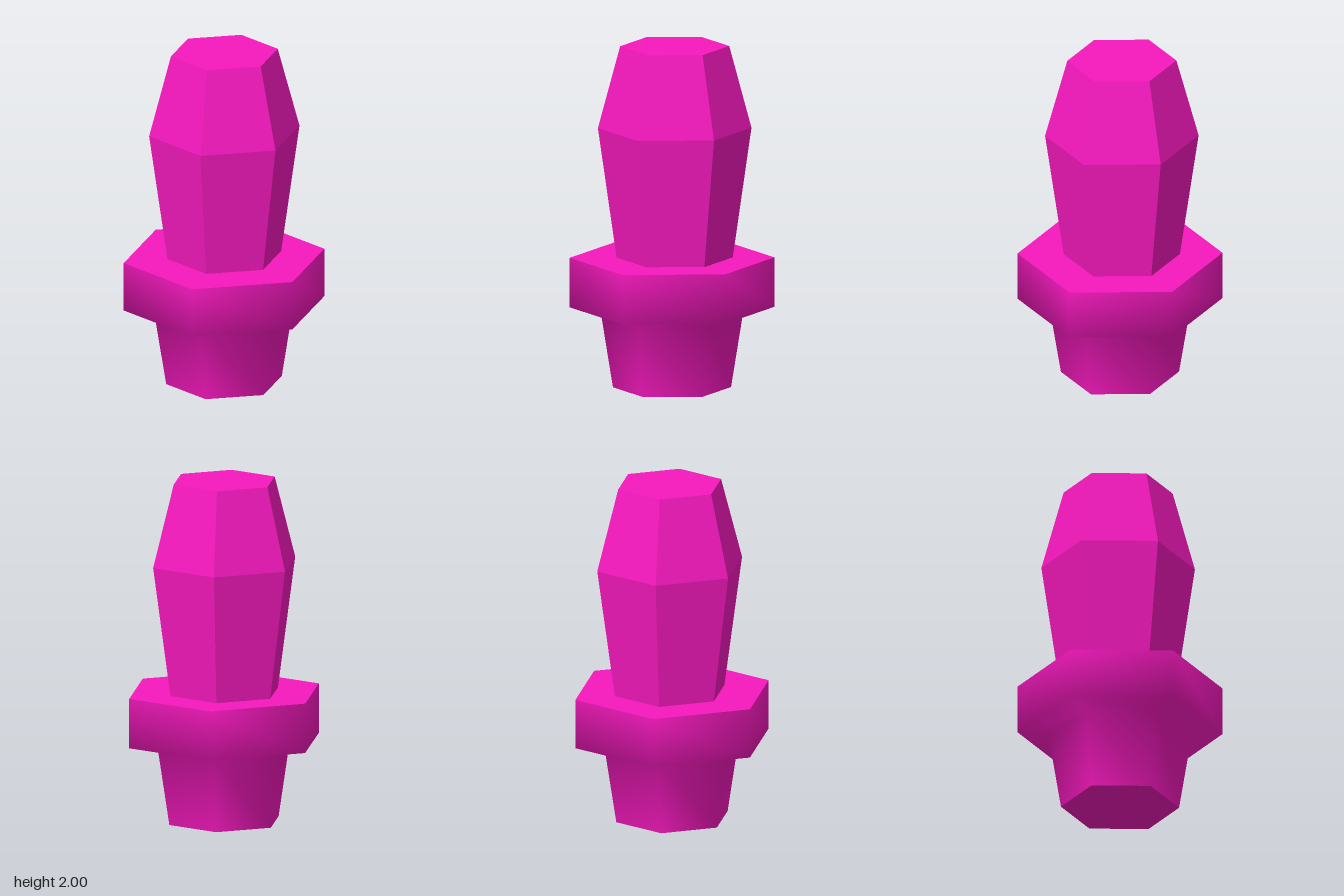
import * as THREE from 'three';

// Six-sided lathe with corners on the x axis; profile runs bottom to top as [radius, y]
function hexLathe(name, profile, flatShading) {
  const points = profile.map(([r, y]) => new THREE.Vector2(r, y));
  const geometry = new THREE.LatheGeometry(points, 6, Math.PI / 2);
  const material = new THREE.MeshStandardMaterial({ color: 0xf518bd, flatShading });
  const mesh = new THREE.Mesh(geometry, material);
  mesh.name = name;
  return mesh;
}

export function createModel() {
  const model = new THREE.Group();
  model.name = 'crystalOnBase';

  // Base: tapered neck flaring into a wide collar, softly shaded, with flat ends
  const base = new THREE.Group();
  base.name = 'base';
  base.add(
    hexLathe('neckAndCollar', [[0.34, 0], [0.41, 0.44], [0.59, 0.47], [0.59, 0.76]], false),
    hexLathe('baseUnderside', [[0, 0], [0.34, 0]], true),
    hexLathe('collarTop', [[0.59, 0.76], [0, 0.76]], true)
  );
  model.add(base);

  // Faceted crystal, slightly off-centre, widest at its shoulder and cut flat on top
  const crystal = hexLathe('crystal', [[0.333, 0.75], [0.442, 1.52], [0.314, 2], [0, 2]], true);
  crystal.position.set(0.005, 0, -0.015);
  model.add(crystal);

  return model;
}
